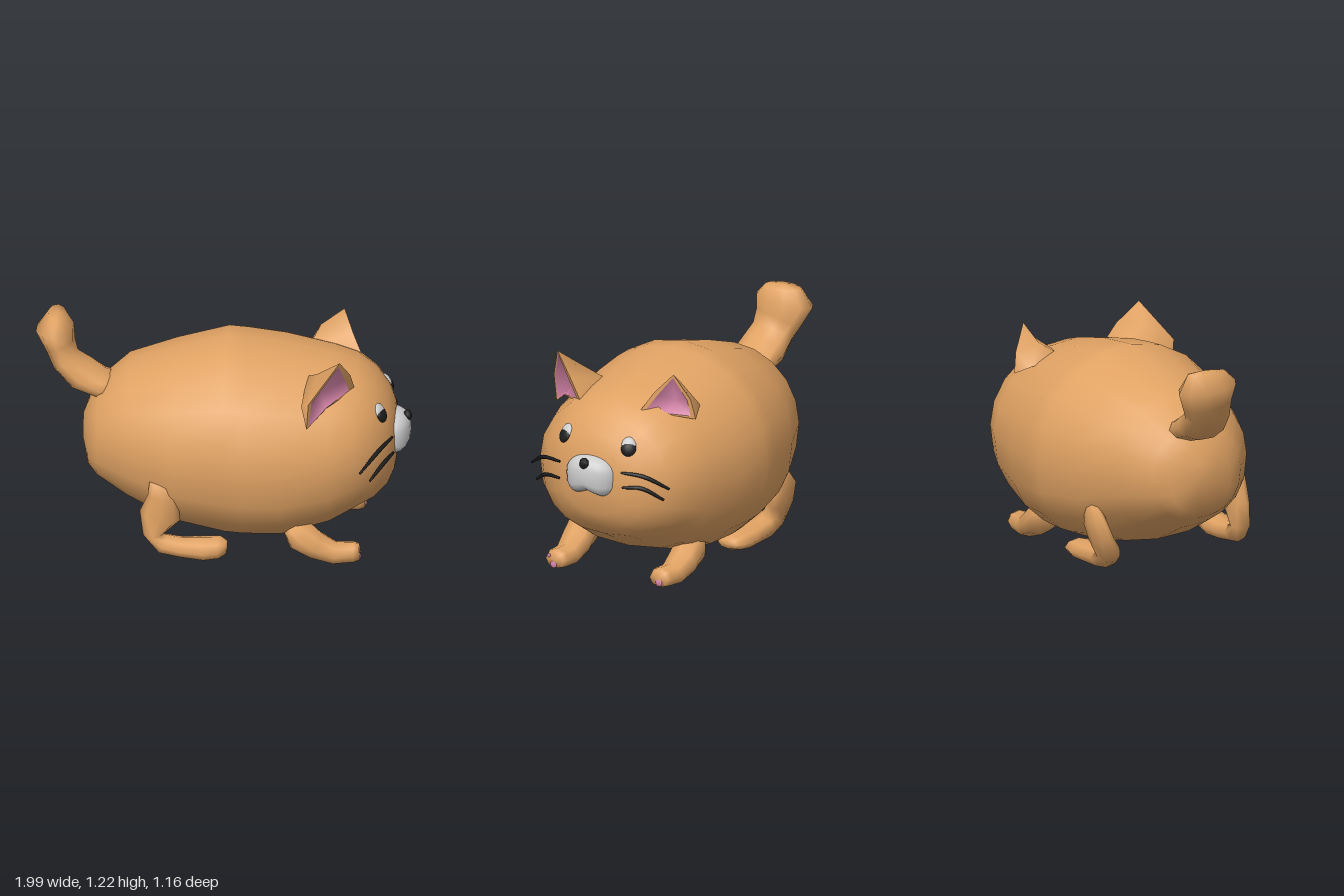
import * as THREE from 'three';

const V = (a) => new THREE.Vector3(a[0], a[1], a[2]);

function material(name, color, side = THREE.FrontSide) {
  const m = new THREE.MeshStandardMaterial({ color, side });
  m.name = name;
  return m;
}

function geometryFrom(points, index) {
  const g = new THREE.BufferGeometry();
  g.setAttribute('position', new THREE.Float32BufferAttribute(points.flatMap((p) => [p.x, p.y, p.z]), 3));
  g.setIndex(index);
  g.computeVertexNormals();
  return g;
}

// Closed skin over elliptical rings; each row is [x, y, z, radius across, radius along axis, radius of the under half]
function loft(rows, { sides = 8, axis = [0, 0, 1], underPower = 2, tangent = null } = {}) {
  const centres = rows.map(V), points = [], index = [], last = rows.length - 1;
  const dir = (i) => (tangent ? V(tangent)
    : centres[Math.min(i + 1, last)].clone().sub(centres[Math.max(i - 1, 0)]).normalize());
  rows.forEach(([, , , across, along, under = across], i) => {
    const t = dir(i);
    const u = V(axis).addScaledVector(t, -V(axis).dot(t)).normalize();
    const n = t.clone().cross(u);
    for (let j = 0; j < sides; j++) {
      const a = (j / sides) * Math.PI * 2, isUnder = Math.sin(a) > 0;
      const bend = (v) => Math.sign(v) * Math.abs(v) ** (isUnder ? 2 / underPower : 1);
      points.push(centres[i].clone()
        .addScaledVector(u, bend(Math.cos(a)) * along)
        .addScaledVector(n, bend(Math.sin(a)) * (isUnder ? under : across)));
    }
  });
  for (let i = 0; i < last; i++) {
    for (let j = 0; j < sides; j++) {
      const k = (j + 1) % sides, a = i * sides + j, b = i * sides + k;
      index.push(a, b, a + sides, b, b + sides, a + sides);
    }
  }
  const start = points.length;
  const bulge = (i) => Math.min(rows[i][3], rows[i][4]) * (tangent ? 0.03 : 0.2);
  points.push(centres[0].clone().addScaledVector(dir(0), -bulge(0)));
  points.push(centres[last].clone().addScaledVector(dir(last), bulge(last)));
  for (let j = 0; j < sides; j++) {
    const k = (j + 1) % sides;
    index.push(start, k, j, start + 1, last * sides + j, last * sides + k);
  }
  return geometryFrom(points, index);
}

export function createModel() {
  const model = new THREE.Group();
  const fur = material('orange fur', 0xe0a263);
  const earFur = material('ear fur', 0xe0a263, THREE.DoubleSide);
  const pink = material('pink skin', 0xd987ab, THREE.DoubleSide);
  const black = material('black', 0x1c1c1c);
  const white = material('pale grey', 0xcccccc);

  const add = (name, geometry, mat, parent = model) => {
    const mesh = new THREE.Mesh(geometry, mat);
    mesh.name = name;
    parent.add(mesh);
    return mesh;
  };

  // Body: [x, top, bottom, half width], round above and fuller below
  const body = [
    [-0.74, 0.68, 0.53, 0.07], [-0.71, 0.76, 0.41, 0.18], [-0.66, 0.86, 0.36, 0.27], [-0.5, 1.0, 0.27, 0.4],
    [-0.25, 1.08, 0.15, 0.51], [0.02, 1.15, 0.095, 0.57], [0.12, 1.14, 0.09, 0.58], [0.32, 1.115, 0.09, 0.565],
    [0.57, 1.06, 0.165, 0.515], [0.7, 1.02, 0.24, 0.465], [0.8, 0.95, 0.29, 0.385], [0.87, 0.86, 0.35, 0.28],
    [0.905, 0.77, 0.43, 0.19], [0.918, 0.68, 0.52, 0.09],
  ].map(([x, top, bottom, w]) => {
    const y = bottom + (top - bottom) * 0.48;
    return [x, y, 0, top - y, w, y - bottom];
  });
  add('body', loft(body, { sides: 20, underPower: 2.4, tangent: [1, 0, 0] }), fur);

  // Tail, bent upwards and broad at the tip
  add('tail', loft([
    [-0.56, 0.84, -0.01, 0.06, 0.12], [-0.65, 0.855, -0.01, 0.068, 0.14], [-0.75, 0.9, -0.02, 0.09, 0.14],
    [-0.835, 0.975, -0.03, 0.075, 0.13], [-0.865, 1.05, -0.05, 0.08, 0.145], [-0.895, 1.14, -0.07, 0.103, 0.172],
    [-0.88, 1.22, -0.07, 0.05, 0.11],
  ], { sides: 10 }), fur);

  // Front legs with pink toe pads
  for (const [name, z, side, pads] of [
    ['left', 0.365, 1, [[0.045, -0.004, 0.021], [0.09, 0.025, 0.011]]],
    ['right', -0.295, -1, [[0.05, -0.006, 0.021]]],
  ]) {
    const leg = new THREE.Group();
    leg.name = name + 'FrontLeg';
    model.add(leg);
    add('frontLeg', loft([
      [0.37, 0.21, z, 0.05, 0.06], [0.42, 0.165, z, 0.09, 0.09], [0.5, 0.11, z, 0.075, 0.09],
      [0.6, 0.065, z - 0.005 * side, 0.06, 0.075], [0.7, 0.07, z - 0.01 * side, 0.055, 0.07],
      [0.73, 0.07, z - 0.01 * side, 0.045, 0.055],
    ]), fur, leg);
    for (const [y, dz, r] of pads) {
      const pad = add('toePad', new THREE.SphereGeometry(r, 8, 6), pink, leg);
      pad.scale.x = 0.35;
      pad.position.set(0.733, y, z + dz * side);
    }
  }

  // Hind legs, each a flat shin running into a long foot
  add('leftHindLeg', loft([
    [-0.285, 0.475, 0.45, 0.088, 0.03], [-0.3, 0.41, 0.45, 0.08, 0.045], [-0.315, 0.3, 0.445, 0.11, 0.05],
    [-0.35, 0.19, 0.445, 0.055, 0.055], [-0.3, 0.14, 0.45, 0.055, 0.065], [-0.2, 0.125, 0.455, 0.052, 0.075],
    [-0.08, 0.125, 0.465, 0.06, 0.09], [0.0, 0.135, 0.47, 0.055, 0.085], [0.035, 0.135, 0.475, 0.035, 0.05],
  ]), fur);
  add('rightHindLeg', loft([
    [-0.28, 0.4, -0.42, 0.06, 0.03], [-0.32, 0.32, -0.42, 0.095, 0.045], [-0.33, 0.23, -0.39, 0.105, 0.05],
    [-0.335, 0.14, -0.345, 0.065, 0.065], [-0.26, 0.1, -0.325, 0.058, 0.08], [-0.15, 0.093, -0.315, 0.053, 0.095],
    [-0.03, 0.09, -0.31, 0.053, 0.1], [0.04, 0.09, -0.31, 0.042, 0.085], [0.075, 0.09, -0.31, 0.025, 0.055],
  ]), fur);

  // Ears: opening outline (outer base, outer edge, tip, inner edge, inner base, mid base), then two back base points
  const ears = [
    ['left', [[0.46, 0.85, 0.51], [0.47, 1.0, 0.52], [0.63, 1.19, 0.4], [0.68, 1.07, 0.29], [0.7, 0.95, 0.21],
      [0.56, 0.925, 0.4], [0.43, 0.96, 0.46], [0.45, 1.02, 0.21]], [0.1, 0.14, 0.12, 0.26, 0.25, 0.06]],
    ['right', [[0.55, 0.92, -0.405], [0.57, 1.03, -0.385], [0.62, 1.17, -0.31], [0.67, 1.07, -0.22],
      [0.73, 0.95, -0.15], [0.65, 0.955, -0.27], [0.45, 0.97, -0.37], [0.44, 1.01, -0.17]],
    [0.2, 0.16, 0.12, 0.24, 0.22, 0.06]],
  ];
  for (const [name, corners, rimWidths] of ears) {
    const p = corners.map(V), rim = p.slice(0, 6);
    const middle = rim.reduce((s, v) => s.add(v), new THREE.Vector3()).divideScalar(6);
    const base = p[6].clone().lerp(p[7], 0.5);
    const inset = rim.map((v, i) => v.clone().lerp(middle, rimWidths[i]));
    const hollow = middle.clone().lerp(base, 0.4);
    // Rounded bulge halfway up the back
    const bulge = base.clone().lerp(p[2], 0.45);
    bulge.addScaledVector(bulge.clone().sub(middle).normalize(), 0.03);
    const ear = new THREE.Group();
    ear.name = name + 'Ear';
    model.add(ear);
    const faces = [0, 1, 6, 1, 8, 6, 1, 2, 8, 8, 7, 6, 2, 3, 8, 8, 3, 7, 3, 4, 7];
    const edge = [], lining = [];
    for (let i = 0; i < 6; i++) {
      const k = (i + 1) % 6;
      edge.push(i, 6 + i, k, k, 6 + i, 6 + k);
      lining.push(i, 6, k);
    }
    // Keep the shaded side of each surface pointing outwards on both ears
    const wind = (list) => (name === 'left' ? list : list.slice().reverse());
    add('earBack', geometryFrom([...p, bulge], wind(faces).reverse()), earFur, ear);
    add('earRim', geometryFrom([...rim, ...inset], wind(edge)), earFur, ear);
    add('earLining', geometryFrom([...inset, hollow], wind(lining)), pink, ear);
  }

  // Eyes: pale ball behind a black one set lower and further forward
  for (const [name, z, y, x] of [['left', 0.22, 0.822, 0.832], ['right', -0.176, 0.815, 0.85]]) {
    const eye = new THREE.Group();
    eye.name = name + 'Eye';
    eye.position.set(x, y, z);
    eye.lookAt(x + 0.8, y + 0.4, z + Math.sign(z) * 0.4);
    model.add(eye);
    const ball = new THREE.SphereGeometry(1, 14, 10);
    add('eyeWhite', ball, white, eye).scale.set(0.042, 0.05, 0.022);
    const pupil = add('pupil', ball, black, eye);
    pupil.scale.set(0.042, 0.043, 0.022);
    pupil.position.set(0, -0.014, 0.003);
  }

  // Muzzle: squarish dome with a notch below
  const muzzle = new THREE.SphereGeometry(1, 20, 14);
  const pos = muzzle.attributes.position;
  for (let i = 0; i < pos.count; i++) {
    let y = pos.getY(i);
    const z = pos.getZ(i);
    y = Math.sign(y) * Math.abs(y) ** (y < 0 ? 0.6 : 0.75);
    if (y < 0) y *= 1 - 0.34 * Math.max(0, 1 - Math.abs(z) / 0.6);
    pos.setXYZ(i, pos.getX(i) * 0.094, y * (y < 0 ? 0.12 : 0.11), z * 0.146);
  }
  muzzle.computeVertexNormals();
  add('muzzle', muzzle, white).position.set(0.895, 0.64, 0.025);

  const nose = add('nose', new THREE.SphereGeometry(1, 8, 6), black);
  nose.scale.set(0.024, 0.031, 0.028);
  nose.position.set(0.969, 0.717, 0.028);

  // Whiskers: root, middle and tip
  const whiskers = [
    [[0.9, 0.68, 0.22], [0.835, 0.665, 0.36], [0.74, 0.59, 0.49]],
    [[0.905, 0.59, 0.22], [0.86, 0.58, 0.33], [0.79, 0.52, 0.43]],
    [[0.905, 0.68, -0.16], [0.875, 0.67, -0.28], [0.8, 0.6, -0.395]],
    [[0.91, 0.6, -0.17], [0.88, 0.605, -0.27], [0.815, 0.54, -0.37]],
  ];
  for (const line of whiskers) {
    const curve = new THREE.CatmullRomCurve3(line.map(V));
    const rows = curve.getPoints(8).map((q, i) => {
      const r = 0.004 + 0.007 * Math.sin((Math.PI * (i + 1)) / 10);
      return [q.x, q.y, q.z, r, r];
    });
    add('whisker', loft(rows, { sides: 6, axis: [0, 1, 0] }), black);
  }

  return model;
}
